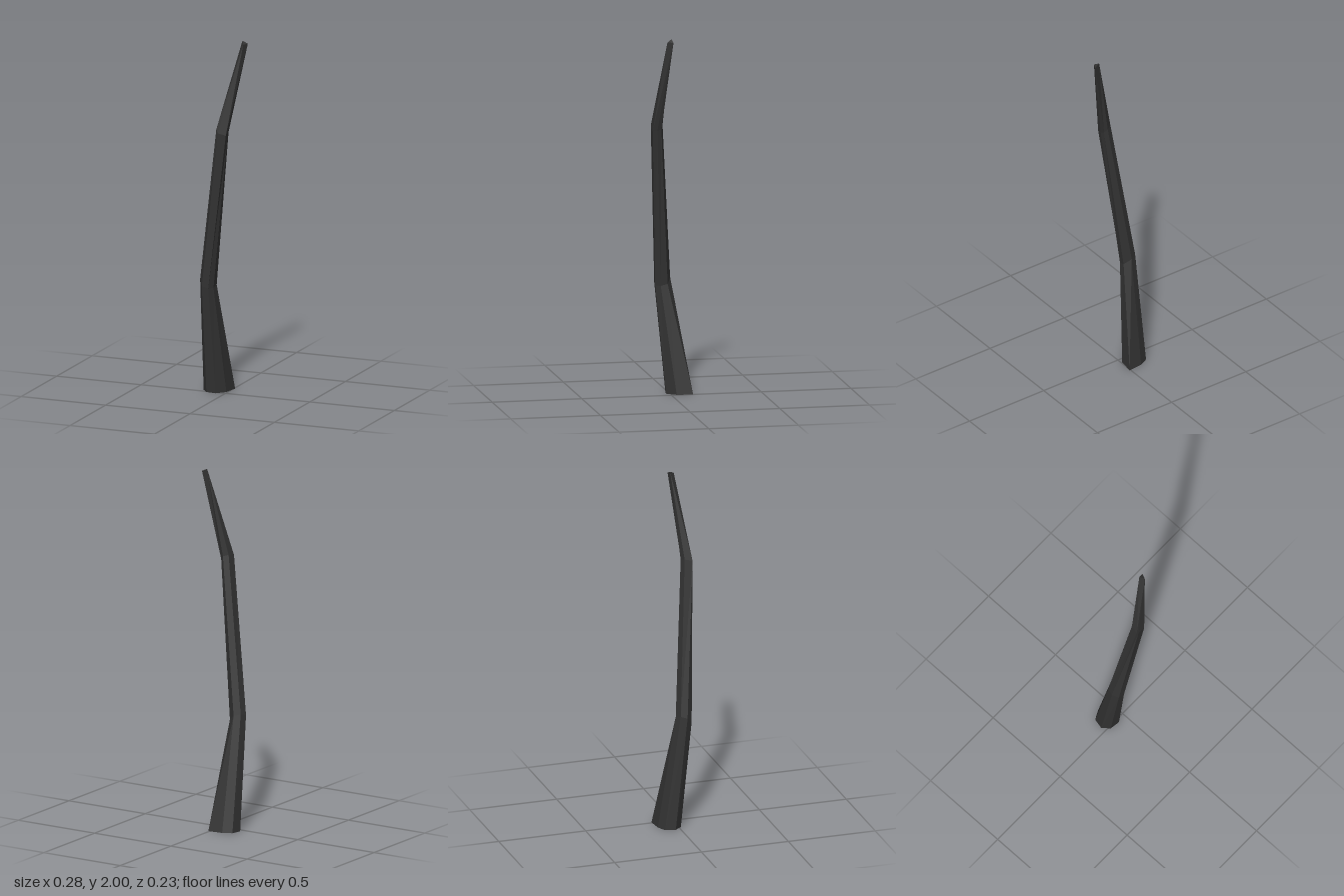
import * as THREE from 'three';

// Seven-sided cross-sections [x, y, z], counterclockwise seen from above
const P = [0.11, 2, 0.023], Q = [0.14, 1.985, 0.018], R = [0.126, 1.985, 0.049];
const RINGS = [
  // foot
  [[0.007, 0, -0.119], [-0.077, 0, -0.11], [-0.128, 0, -0.085], [-0.141, 0, -0.028],
    [-0.108, 0, 0.012], [-0.05, 0, 0.02], [-0.007, 0, -0.03]],
  // lower bend
  [[-0.047, 0.61, 0.012], [-0.086, 0.64, -0.01], [-0.121, 0.65, 0.007], [-0.132, 0.64, 0.043],
    [-0.109, 0.61, 0.074], [-0.07, 0.6, 0.077], [-0.05, 0.6, 0.05]],
  // upper bend
  [[0.046, 1.49, 0.066], [0.028, 1.51, 0.056], [0, 1.52, 0.07], [-0.007, 1.51, 0.113],
    [0.003, 1.49, 0.116], [0.05, 1.48, 0.115], [0.051, 1.48, 0.09]],
  // tip, narrowing to three corners
  [Q, P, P, P, R, R, Q],
];

// Skin the rings with flat triangles and close both ends
function loft(rings) {
  const pos = [];
  const v = (p) => new THREE.Vector3(...p);
  const tri = (a, b, c) => {
    const area = new THREE.Triangle(v(a), v(b), v(c)).getArea();
    if (area > 1e-7) pos.push(...a, ...b, ...c);
  };
  const n = rings[0].length;
  for (let r = 0; r < rings.length - 1; r++) {
    const lo = rings[r], hi = rings[r + 1];
    for (let i = 0; i < n; i++) {
      const j = (i + 1) % n;
      tri(lo[i], lo[j], hi[j]);
      tri(lo[i], hi[j], hi[i]);
    }
  }
  const foot = rings[0], tip = rings[rings.length - 1];
  for (let i = 1; i < n - 1; i++) {
    tri(foot[0], foot[i + 1], foot[i]);
    tri(tip[0], tip[i], tip[i + 1]);
  }
  const geo = new THREE.BufferGeometry();
  geo.setAttribute('position', new THREE.Float32BufferAttribute(pos, 3));
  geo.computeVertexNormals();
  return geo;
}

export function createModel() {
  const group = new THREE.Group();
  group.name = 'bentStem';
  const material = new THREE.MeshStandardMaterial({ color: 0x333333, flatShading: true });
  const stem = new THREE.Mesh(loft(RINGS), material);
  stem.name = 'stem';
  group.add(stem);
  return group;
}
